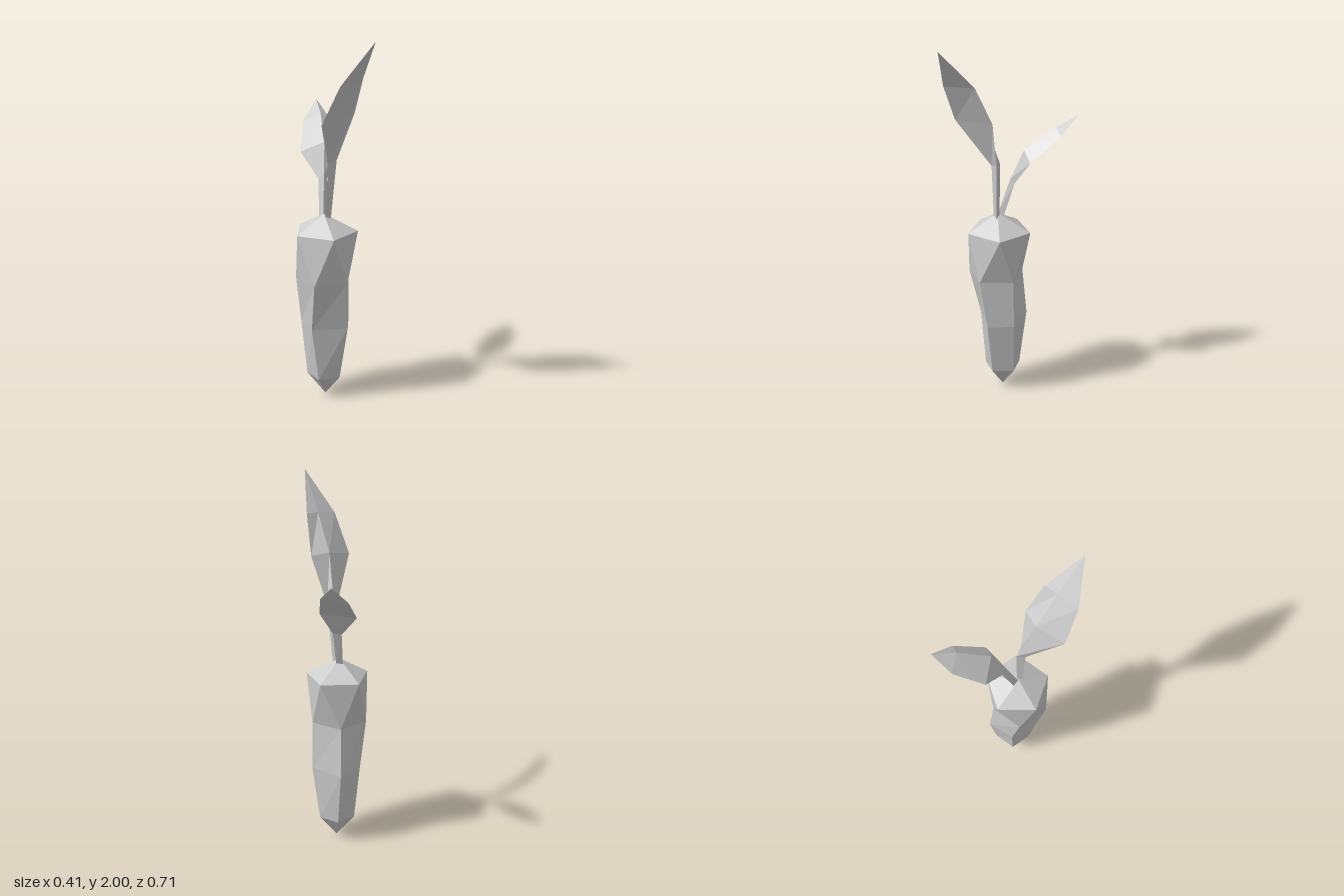
import * as THREE from 'three';

const material = new THREE.MeshStandardMaterial({ color: 0xcccccc, flatShading: true, side: THREE.DoubleSide });

// Skins a list of cross-sections from bottom to top; a one-point section closes to a tip.
function loft(name, sections) {
  const sides = Math.max(...sections.map((s) => s.length));
  const positions = [];
  const triangle = (a, b, c) => {
    if (a !== b && b !== c && c !== a) positions.push(...a, ...b, ...c);
  };
  for (let k = 0; k < sections.length - 1; k++) {
    const low = sections[k], high = sections[k + 1];
    for (let i = 0; i < sides; i++) {
      const j = (i + 1) % sides;
      const a = low[i % low.length], b = low[j % low.length];
      const c = high[j % high.length], d = high[i % high.length];
      triangle(a, b, c);
      triangle(a, c, d);
    }
  }
  const geometry = new THREE.BufferGeometry();
  geometry.setAttribute('position', new THREE.Float32BufferAttribute(positions, 3));
  geometry.computeVertexNormals();
  const mesh = new THREE.Mesh(geometry, material);
  mesh.name = name;
  return mesh;
}

// Five-sided horizontal ring, counter-clockwise seen from above.
function ring(x, y, z, radius, turn) {
  return Array.from({ length: 5 }, (_, i) => {
    const a = turn + (i * Math.PI * 2) / 5;
    return [x + radius * Math.cos(a), y, z - radius * Math.sin(a)];
  });
}

export function createModel() {
  const group = new THREE.Group();
  group.name = 'carrot';
  const half = Math.PI / 5;

  // Tapered root, its shoulder ring turned by half a side
  group.add(loft('root', [
    [[-0.055, 0, 0.045]],
    ring(-0.055, 0.125, 0.045, 0.1, half),
    [[0.07, 0.43, -0.015], [-0.11, 0.43, -0.09], [-0.185, 0.43, 0.04], [-0.12, 0.43, 0.165], [0.07, 0.43, 0.13]],
    ring(-0.055, 0.7, 0.08, 0.153, half),
    ring(-0.053, 0.96, 0.062, 0.173, 0),
    [[-0.06, 1.055, 0.07]],
  ]));

  // Tall leaf with its stem: left edge, right edge, raised midrib
  group.add(loft('tallLeaf', [
    [[-0.05, 1.03, 0.09], [-0.022, 1.03, 0.075], [-0.05, 1.03, 0.06]],
    [[-0.035, 1.33, 0.1], [0.008, 1.345, 0.075], [-0.035, 1.34, 0.055]],
    [[-0.058, 1.575, 0.285], [0.1, 1.6, 0.095], [0.015, 1.61, 0.145]],
    [[0.035, 1.78, 0.338], [0.145, 1.8, 0.18], [0.1, 1.8, 0.24]],
    [[0.203, 2, 0.355]],
  ]));

  // Short leaf leaning back: left edge, raised midrib, right edge
  group.add(loft('shortLeaf', [
    [[-0.085, 1.03, 0.045], [-0.06, 1.045, 0.07], [-0.05, 1.03, 0.04]],
    [[-0.092, 1.22, -0.015], [-0.062, 1.25, 0], [-0.045, 1.225, -0.02]],
    [[-0.19, 1.345, -0.095], [-0.062, 1.405, -0.07], [0.005, 1.355, -0.1]],
    [[-0.183, 1.475, -0.255], [-0.09, 1.52, -0.235], [-0.04, 1.485, -0.26]],
    [[-0.12, 1.575, -0.355]],
  ]));

  return group;
}
